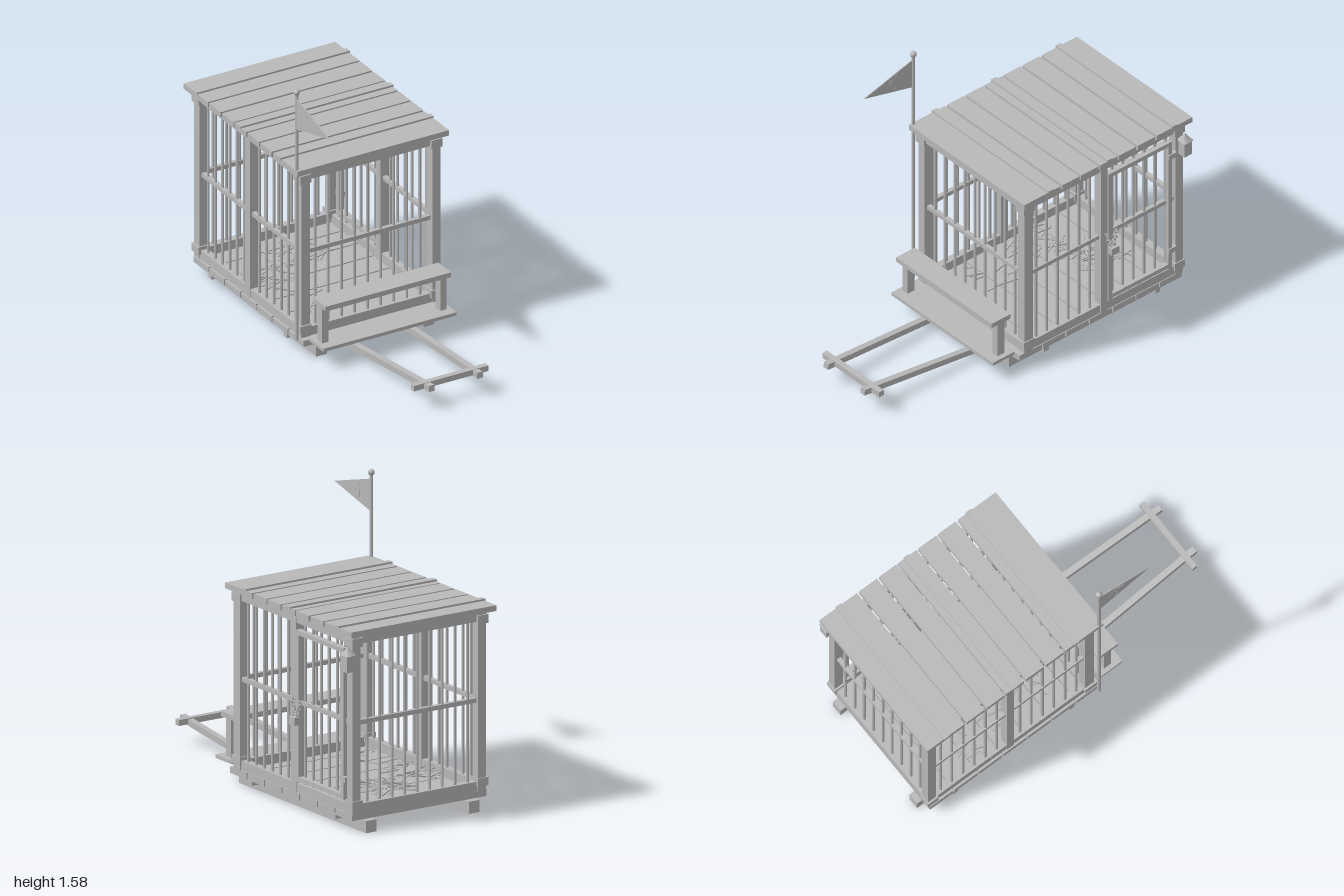
import * as THREE from 'three';

export function createModel() {
  const model = new THREE.Group();
  model.name = 'cageSled';
  const grey = new THREE.MeshStandardMaterial({ color: 0xb8b8b8, side: THREE.DoubleSide });
  grey.name = 'plain grey';

  const add = (name, geo, x = 0, y = 0, z = 0, parent = model) => {
    const m = new THREE.Mesh(geo, grey);
    m.name = name;
    m.position.set(x, y, z);
    parent.add(m);
    return m;
  };
  // box given by its limits on each axis
  const box = (name, x0, x1, y0, y1, z0, z1, parent) =>
    add(name, new THREE.BoxGeometry(x1 - x0, y1 - y0, Math.abs(z1 - z0)),
      (x0 + x1) / 2, (y0 + y1) / 2, (z0 + z1) / 2, parent);
  // square beam between two points
  const beam = (name, a, b, w, parent) => {
    const p = new THREE.Vector3(...a), q = new THREE.Vector3(...b);
    const m = add(name, new THREE.BoxGeometry(w, w, p.distanceTo(q)), 0, 0, 0, parent);
    m.position.copy(p).add(q).multiplyScalar(0.5);
    m.lookAt(q);
    return m;
  };
  const bar = (x, z, y0 = 0.14, y1 = 1.03) =>
    add('cageBar', new THREE.CylinderGeometry(0.008, 0.008, y1 - y0, 8), x, (y0 + y1) / 2, z);

  // runners, cross beams and floor planks
  box('leftRunner', 0.285, 0.35, 0, 0.065, -0.99, 0.175);
  box('rightRunner', -0.365, -0.30, 0, 0.065, -0.99, 0.175);
  for (const z of [-0.025, -0.79]) box('crossBeam', -0.433, 0.417, 0.045, 0.075, z - 0.017, z + 0.017);
  for (let i = 0; i < 7; i++) {
    const z = 0.16 - i * 0.161;
    box('floorPlank', -0.433, 0.417, 0.068, 0.103, z - 0.152, z);
  }

  // corner posts, middle posts and corner brackets
  const sides = [[-0.425, -0.375], [0.367, 0.417]];
  const ends = [[0.068, 0.128], [-0.965, -0.912]];
  for (const [x0, x1] of sides) {
    for (const [z0, z1] of ends) {
      box('cornerPost', x0, x1, 0.1, 1.07, z0, z1);
      for (const [y0, y1] of [[0.13, 0.175], [1.007, 1.055]])
        box('cornerBracket', x0 - 0.011, x1 + 0.006, y0, y1, z0 - 0.007, z1 + 0.009);
    }
    box('middlePost', x0, x1, 0.1, 1.07, -0.445, -0.398);
    // long rails
    box('sideBottomRail', x0 + 0.005, x1 - 0.005, 0.103, 0.155, -0.96, 0.12);
    box('sideTopRail', x0 + 0.005, x1 - 0.005, 1.02, 1.073, -0.96, 0.12);
    const xm = (x0 + x1) / 2;
    box('sideMiddleRail', xm - 0.012, xm + 0.012, 0.58, 0.604, -0.91, 0.07);
    for (let i = 0; i < 6; i++) {
      bar(xm, 0.028 - i * 0.074);
      bar(xm, -0.495 - i * 0.0735);
    }
  }
  for (const [z0, z1] of ends) {
    box('endBottomRail', -0.38, 0.37, 0.103, 0.155, z0 + 0.005, z1 - 0.005);
    box('endTopRail', -0.38, 0.37, 1.02, 1.073, z0 + 0.005, z1 - 0.005);
    const zm = (z0 + z1) / 2;
    box('endMiddleRail', -0.376, 0.368, 0.58, 0.604, zm - 0.012, zm + 0.012);
    for (let i = 0; i < 9; i++) bar(-0.325 + i * 0.0792, zm);
  }

  // roof planks and battens
  const roof = [[-1, -0.755], [-0.742, -0.624], [-0.61, -0.494], [-0.485, -0.365],
    [-0.353, -0.234], [-0.222, -0.106], [-0.092, 0.157]];
  for (const [z0, z1] of roof) box('roofPlank', -0.467, 0.45, 1.072, 1.103, z0, z1);
  for (const z of [-0.875, -0.43, -0.022])
    box('roofBatten', -0.472, 0.454, 1.1, 1.113, z - 0.017, z + 0.017);

  // door frame, hinges
  const door = new THREE.Group();
  door.name = 'door';
  model.add(door);
  for (const z of [-0.475, -0.885]) box('doorStile', 0.385, 0.421, 0.165, 0.985, z, z + 0.026, door);
  for (const y of [0.17, 0.961]) box('doorRail', 0.385, 0.421, y, y + 0.024, -0.885, -0.45, door);
  for (const y of [0.265, 0.877]) box('hinge', 0.4, 0.428, y, y + 0.03, -0.912, -0.858, door);

  // chain and padlock
  for (let i = 0; i < 8; i++) {
    const t = i / 7;
    const link = add('chainLink', new THREE.TorusGeometry(0.012, 0.004, 6, 10),
      0.428, 0.6 - 0.07 * Math.sin(t * Math.PI), -0.432 - 0.065 * t, door);
    link.rotation.set(0.4, i % 2 ? Math.PI / 2 : 0.3, 0);
  }
  box('padlock', 0.424, 0.458, 0.48, 0.522, -0.49, -0.44, door);
  add('padlockShackle', new THREE.TorusGeometry(0.015, 0.004, 6, 12, Math.PI), 0.44, 0.522, -0.465, door)
    .rotation.y = Math.PI / 2;

  // hanging lantern at the rear corner
  box('lanternBody', 0.414, 0.466, 0.882, 0.97, -0.984, -0.931);
  const cap = add('lanternRoof', new THREE.ConeGeometry(0.045, 0.046, 4).rotateY(Math.PI / 4), 0.44, 0.993, -0.957);
  cap.material = grey;

  // driver's bench
  box('footBoard', -0.41, 0.395, 0.107, 0.126, 0.178, 0.326);
  box('benchSeat', -0.388, 0.37, 0.332, 0.36, 0.183, 0.312);
  for (const [x0, x1] of [[-0.385, -0.345], [0.33, 0.367]])
    box('benchLeg', x0, x1, 0.12, 0.335, 0.222, 0.27);

  // pulling shafts and handle bar
  beam('rightShaft', [-0.186, 0.045, 0.16], [-0.154, 0.127, 0.998], 0.034);
  beam('leftShaft', [0.171, 0.045, 0.16], [0.137, 0.127, 0.998], 0.034);
  box('handleBar', -0.235, 0.215, 0.11, 0.142, 0.92, 0.952);

  // flag pole with pennant
  add('flagPole', new THREE.CylinderGeometry(0.0095, 0.0095, 1.45, 10), -0.458, 0.83, 0.134);
  add('poleBall', new THREE.SphereGeometry(0.018, 14, 10), -0.458, 1.558, 0.134);
  // shapes are drawn as (z, y) and turned to face sideways
  const plate = (name, pts, depth) => {
    const geo = new THREE.ExtrudeGeometry(new THREE.Shape(pts.map(p => new THREE.Vector2(...p))),
      { depth, bevelEnabled: false });
    geo.translate(0, 0, -depth / 2).rotateY(-Math.PI / 2);
    return add(name, geo, -0.46, 0, 0);
  };
  plate('pennant', [[0.138, 1.345], [0.47, 1.433], [0.138, 1.522]], 0.006);
  plate('pennantCross', [[0.236, 1.39], [0.262, 1.39], [0.255, 1.4], [0.255, 1.442], [0.278, 1.438],
    [0.29, 1.432], [0.29, 1.467], [0.278, 1.46], [0.255, 1.458], [0.26, 1.478], [0.238, 1.478],
    [0.243, 1.458], [0.22, 1.46], [0.208, 1.467], [0.208, 1.432], [0.22, 1.438], [0.243, 1.442],
    [0.243, 1.4]], 0.009);

  // loose straw on the floor
  let seed = 7;
  const rnd = () => (seed = (seed * 16807) % 2147483647) / 2147483647;
  const straw = new THREE.Group();
  straw.name = 'straw';
  model.add(straw);
  for (const [cx, cz, n] of [[0.03, -0.68, 40], [-0.26, -0.5, 30], [-0.17, -0.2, 10]]) {
    for (let i = 0; i < n; i++) {
      const x = cx + (rnd() - 0.5) * 0.26, z = cz + (rnd() - 0.5) * 0.26;
      const a = rnd() * Math.PI * 2, l = 0.03 + rnd() * 0.03, y = 0.112 + rnd() * 0.02;
      beam('strawStalk', [x - Math.cos(a) * l, y, z - Math.sin(a) * l],
        [x + Math.cos(a) * l, y + rnd() * 0.03, z + Math.sin(a) * l], 0.007, straw);
    }
  }
  return model;
}
